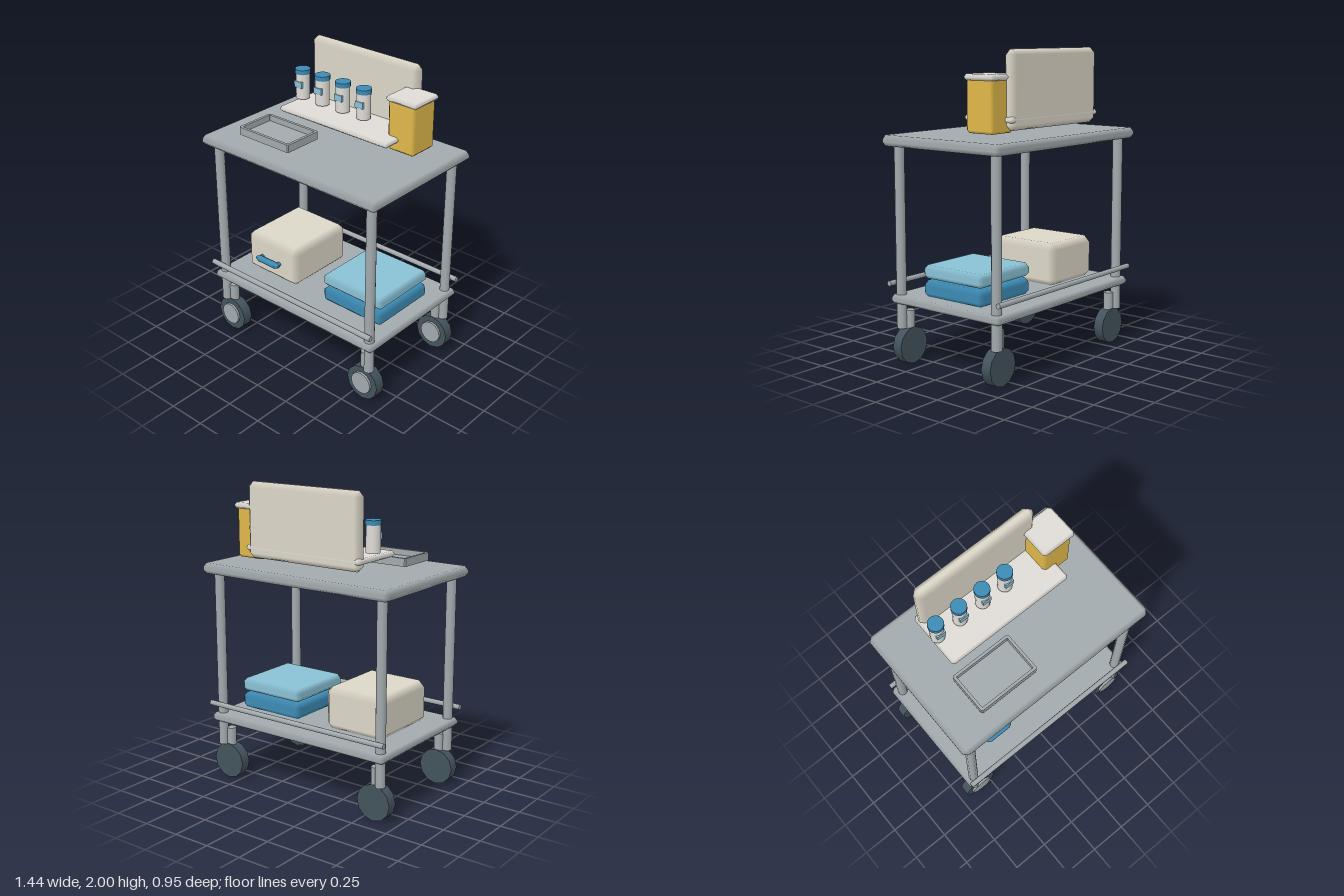
import * as THREE from 'three';
import { ConvexGeometry } from 'three/addons/geometries/ConvexGeometry.js';

const mat = (color) => new THREE.MeshStandardMaterial({ color });
const steel = mat(0xa3abae);
const cream = mat(0xdcd7c8);
const white = mat(0xe0ddd8);
const blue = mat(0x3d8bb5);
const lightBlue = mat(0x8ac2d6);
const yellow = mat(0xe0b84a);
const rubber = mat(0x43535d);

function add(parent, name, geometry, material, x = 0, y = 0, z = 0) {
  const mesh = new THREE.Mesh(geometry, material);
  mesh.name = name;
  mesh.position.set(x, y, z);
  parent.add(mesh);
  return mesh;
}

// Box with one chamfer on every edge; normals follow the main faces for a soft edge
function softBox(w, h, d, bevel) {
  const half = [w / 2, h / 2, d / 2];
  const points = [];
  for (const sx of [-1, 1]) for (const sy of [-1, 1]) for (const sz of [-1, 1]) {
    for (let axis = 0; axis < 3; axis++) {
      const p = [sx, sy, sz].map((s, i) => s * (half[i] - (i === axis ? 0 : bevel)));
      points.push(new THREE.Vector3(...p));
    }
  }
  const geometry = new ConvexGeometry(points);
  const pos = geometry.attributes.position;
  const normal = geometry.attributes.normal;
  for (let i = 0; i < pos.count; i++) {
    const p = [pos.getX(i), pos.getY(i), pos.getZ(i)];
    normal.setXYZ(i, ...p.map((v, k) => (Math.abs(v) > half[k] - 1e-5 ? Math.sign(v) : 0)));
  }
  return geometry;
}

// Soft box given by its limits on each axis
function boxBetween(parent, name, material, [x0, x1], [y0, y1], [z0, z1], bevel) {
  return add(parent, name, softBox(x1 - x0, y1 - y0, z1 - z0, bevel), material,
    (x0 + x1) / 2, (y0 + y1) / 2, (z0 + z1) / 2);
}

const rodX = (r, length, sides) => new THREE.CylinderGeometry(r, r, length, sides).rotateZ(Math.PI / 2);
const discZ = (r, depth, sides) => new THREE.CylinderGeometry(r, r, depth, sides).rotateX(Math.PI / 2);

function makeCaster() {
  const caster = new THREE.Group();
  caster.name = 'caster';
  add(caster, 'casterStem', new THREE.CylinderGeometry(0.033, 0.033, 0.23, 10), steel, 0, 0.235, 0);
  add(caster, 'wheel', discZ(0.12, 0.07, 12), rubber, 0, 0.122, 0);
  add(caster, 'wheelHub', discZ(0.076, 0.03, 12), steel, 0, 0.125, 0.035);
  return caster;
}

function makeBottle() {
  const bottle = new THREE.Group();
  bottle.name = 'bottle';
  add(bottle, 'bottleBody', new THREE.CylinderGeometry(0.046, 0.046, 0.175, 16), white, 0, 0.0875, 0);
  add(bottle, 'bottleCap', new THREE.CylinderGeometry(0.05, 0.05, 0.03, 16), blue, 0, 0.185, 0);
  add(bottle, 'bottleLabel', new THREE.BoxGeometry(0.062, 0.042, 0.02), lightBlue, 0, 0.1, 0.04);
  return bottle;
}

// Open tray: a frame with a cut-out and a thin floor
function makeTray(w, d, h, wall) {
  const tray = new THREE.Group();
  tray.name = 'tray';
  const rect = (path, a, b, c) => {
    path.moveTo(-a + c, -b);
    [[a - c, -b], [a, -b + c], [a, b - c], [a - c, b], [-a + c, b], [-a, b - c], [-a, -b + c]]
      .forEach(([x, y]) => path.lineTo(x, y));
    path.closePath();
    return path;
  };
  const shape = rect(new THREE.Shape(), w / 2, d / 2, 0.008);
  shape.holes.push(rect(new THREE.Path(), w / 2 - wall, d / 2 - wall, 0.002));
  const frame = new THREE.ExtrudeGeometry(shape, { depth: h, bevelEnabled: false }).rotateX(-Math.PI / 2);
  add(tray, 'trayRim', frame, steel);
  add(tray, 'trayFloor', new THREE.BoxGeometry(w - wall, 0.012, d - wall), steel, 0, 0.007, 0);
  return tray;
}

export function createModel() {
  const cart = new THREE.Group();
  cart.name = 'utilityCart';

  // Frame
  boxBetween(cart, 'tableTop', steel, [-0.722, 0.72], [1.4, 1.47], [-0.478, 0.477], 0.028);
  boxBetween(cart, 'lowerShelf', steel, [-0.692, 0.688], [0.4, 0.456], [-0.453, 0.447], 0.022);
  for (const side of [-1, 1]) {
    add(cart, 'rail', rodX(0.018, 1.38, 8), steel, -0.003, 0.525, side * 0.447);
    for (const end of [-1, 1]) {
      add(cart, 'leg', new THREE.CylinderGeometry(0.033, 0.033, 1.19, 10), steel, side * 0.633, 0.83, end * 0.392);
      const caster = makeCaster();
      caster.position.set(side * 0.587, 0, end * 0.367);
      cart.add(caster);
    }
  }

  // Storage box with bar handle on the lower shelf
  boxBetween(cart, 'storageBox', cream, [-0.557, -0.104], [0.455, 0.737], [-0.255, 0.26], 0.042);
  const handle = new THREE.Group();
  handle.name = 'boxHandle';
  handle.position.set(-0.33, 0.592, 0.293);
  cart.add(handle);
  add(handle, 'handleBar', rodX(0.022, 0.15, 8), blue);
  for (const s of [-1, 1]) {
    const tip = new THREE.CylinderGeometry(0.022, 0.01, 0.026, 8).rotateZ(s * Math.PI / 2);
    add(handle, 'handleEnd', tip, blue, s * 0.087, 0, 0);
    add(handle, 'handlePost', discZ(0.016, 0.045, 8), blue, s * 0.075, 0, -0.022);
  }

  // Folded linen
  boxBetween(cart, 'lowerTowel', blue, [0.11, 0.6], [0.455, 0.562], [-0.246, 0.246], 0.03);
  boxBetween(cart, 'upperTowel', lightBlue, [0.11, 0.6], [0.573, 0.66], [-0.246, 0.246], 0.028);

  // Upright board with bottle ledge
  boxBetween(cart, 'backBoard', cream, [-0.435, 0.43], [1.518, 2.0], [-0.355, -0.268], 0.034);
  boxBetween(cart, 'bottleLedge', white, [-0.448, 0.443], [1.565, 1.602], [-0.358, 0.03], 0.017);
  for (const x of [-0.41, -0.24, -0.068, 0.103]) {
    const bottle = makeBottle();
    bottle.position.set(x, 1.614, -0.165);
    cart.add(bottle);
  }

  // Canister with lid
  boxBetween(cart, 'canister', yellow, [0.35, 0.557], [1.503, 1.83], [-0.3, -0.088], 0.018);
  boxBetween(cart, 'canisterLid', white, [0.333, 0.573], [1.817, 1.855], [-0.318, -0.078], 0.018);

  // Tray
  const tray = makeTray(0.422, 0.278, 0.052, 0.018);
  tray.position.set(-0.279, 1.498, 0.208);
  cart.add(tray);

  return cart;
}
